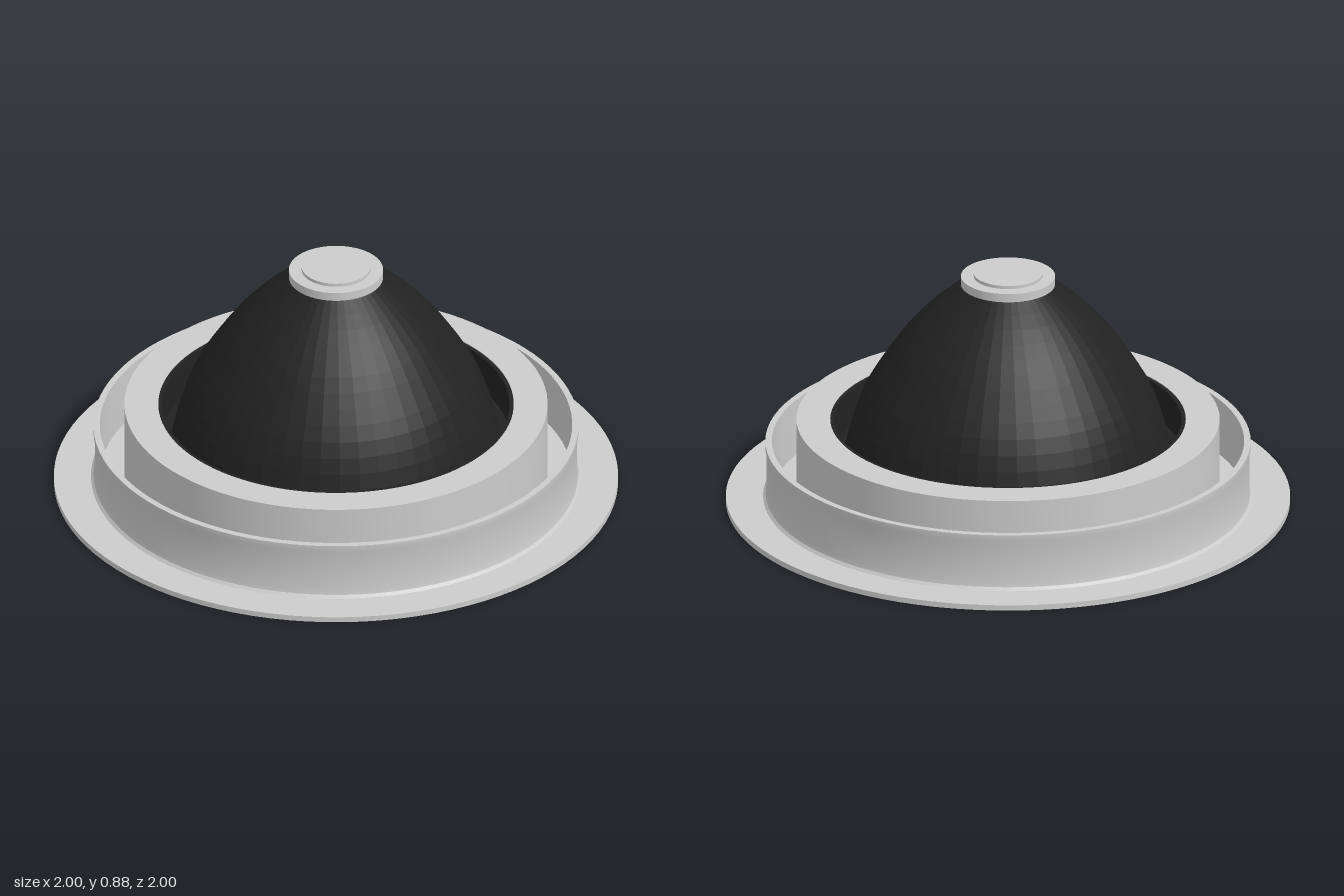
import * as THREE from 'three';
import { toCreasedNormals } from 'three/addons/utils/BufferGeometryUtils.js';

const grey = new THREE.MeshStandardMaterial({ color: 0xcccccc });
const black = new THREE.MeshStandardMaterial({ color: 0x222222 });
const facetedBlack = new THREE.MeshStandardMaterial({ color: 0x222222, flatShading: true, side: THREE.DoubleSide });
const glass = new THREE.MeshStandardMaterial({ color: 0xb0c4c4 });

// Closed ring turned from a cross-section listed counter-clockwise as [radius, y]
function ring(name, section, material) {
  const points = [...section, section[0]].map(([r, y]) => new THREE.Vector2(r, y));
  const geometry = toCreasedNormals(new THREE.LatheGeometry(points, 96), Math.PI / 6);
  const mesh = new THREE.Mesh(geometry, material);
  mesh.name = name;
  return mesh;
}

function disc(name, radius, bottom, top, material) {
  const mesh = new THREE.Mesh(new THREE.CylinderGeometry(radius, radius, top - bottom, 72), material);
  mesh.position.y = (bottom + top) / 2;
  mesh.name = name;
  return mesh;
}

export function createModel() {
  const group = new THREE.Group();
  group.name = 'recessedSpotlight';

  // Flat trim flange with the upright collar on it
  group.add(ring('trimFlange', [
    [0.74, 0], [1, 0], [1, 0.02], [0.868, 0.02], [0.859, 0.03], [0.855, 0.05],
    [0.855, 0.19], [0.86, 0.21], [0.86, 0.23], [0.837, 0.23], [0.837, 0.02], [0.74, 0.02],
  ], grey));

  // Inner housing: thin wall turned inward at the top
  group.add(ring('innerHousing', [
    [0.74, 0.015], [0.75, 0.015], [0.75, 0.315], [0.63, 0.315], [0.63, 0.285], [0.74, 0.285],
  ], grey));

  // Lamp holder: black sleeve with a wider front lip and a ledge for the glass
  group.add(ring('lampHolder', [
    [0.56, 0.005], [0.66, 0.005], [0.66, 0.27], [0.63, 0.285], [0.63, 0.312],
    [0.615, 0.312], [0.615, 0.18], [0.56, 0.18],
  ], black));

  group.add(disc('frontGlass', 0.565, 0.15, 0.17, glass));

  // Faceted reflector dome
  const curve = new THREE.SplineCurve([
    [0.585, 0.17], [0.55, 0.315], [0.505, 0.43], [0.445, 0.53],
    [0.36, 0.65], [0.26, 0.755], [0.165, 0.835],
  ].map(([r, y]) => new THREE.Vector2(r, y)));
  const dome = new THREE.Mesh(new THREE.LatheGeometry(curve.getSpacedPoints(14), 48), facetedBlack);
  dome.name = 'reflectorDome';
  group.add(dome);

  // Cap and contact at the back of the lamp
  group.add(disc('lampCap', 0.167, 0.83, 0.865, grey));
  group.add(disc('capContact', 0.122, 0.86, 0.877, grey));
  return group;
}
